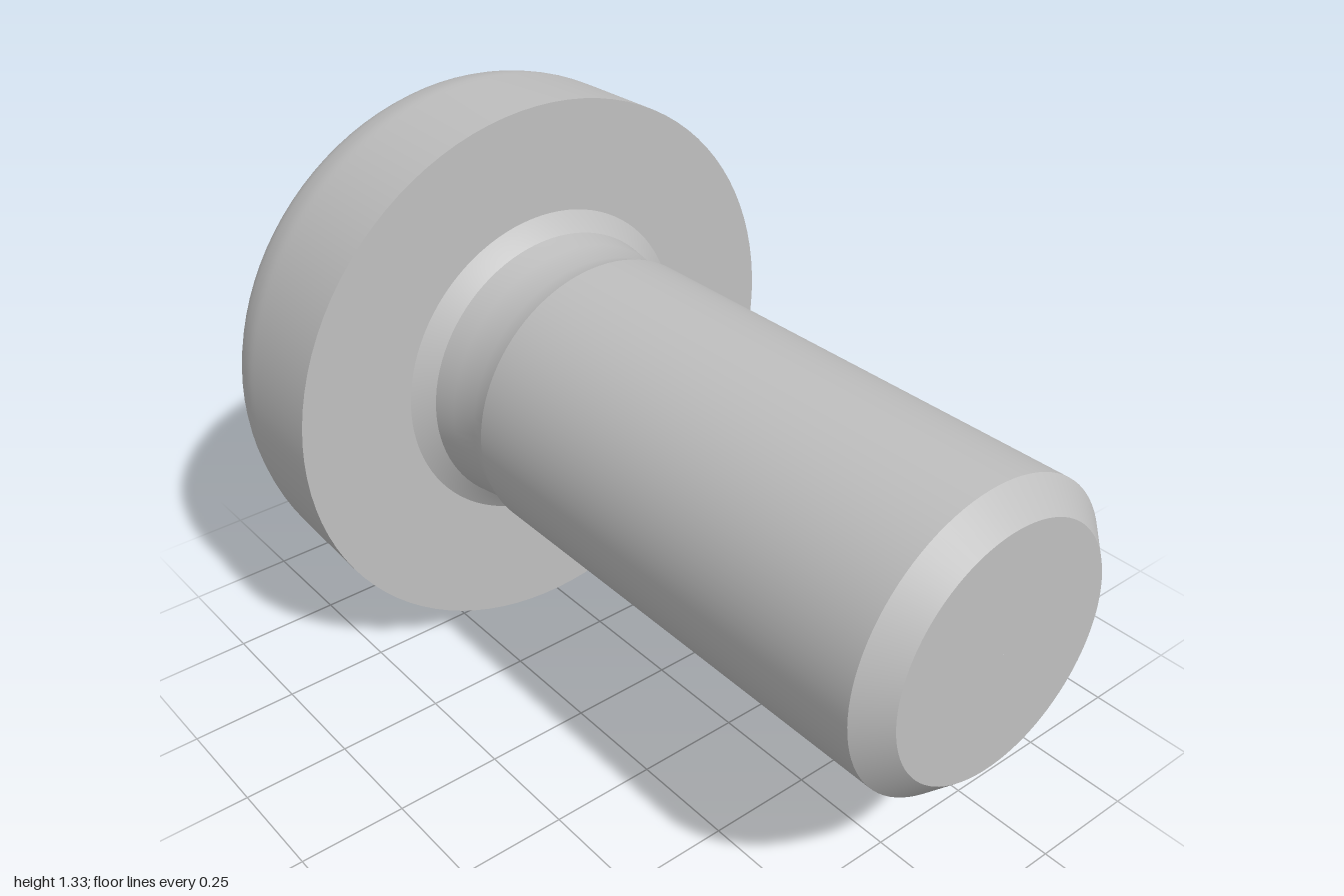
import * as THREE from 'three';
import { toCreasedNormals } from 'three/addons/utils/BufferGeometryUtils.js';

const EDGE = 6;            // steps along each edge of the recess outline
const N = EDGE * 16;       // points in every ring
const HEAD_Y = 0.667, SHAFT_Y = 0.683;

// Round ring of [y, z] offsets; index EDGE / 2 lies on the +z axis
function circle(r) {
  return Array.from({ length: N }, (_, i) => {
    const a = ((i - EDGE / 2) / N) * Math.PI * 2;
    return [r * Math.sin(a), r * Math.cos(a)];
  });
}

// Cross-shaped ring: arm length, half width of an arm, start of the corner chamfer
function cross(tip, half, inner) {
  const corners = [[-half, tip], [half, tip], [half, inner], [inner, half], [half, tip]];
  corners[4] = [tip, half];
  const pts = [];
  for (let q = 0; q < 4; q++) {
    const c = Math.round(Math.cos(q * Math.PI / 2)), s = Math.round(Math.sin(q * Math.PI / 2));
    for (let e = 0; e < 4; e++) {
      for (let k = 0; k < EDGE; k++) {
        const t = k / EDGE;
        const y = corners[e][0] * (1 - t) + corners[e + 1][0] * t;
        const z = corners[e][1] * (1 - t) + corners[e + 1][1] * t;
        pts.push([y * c + z * s, z * c - y * s]);
      }
    }
  }
  return pts;
}

// Skin through rings placed along x, from the recess towards the shaft tip
function loft(rings, cy, crease) {
  const pos = [], idx = [];
  rings.forEach(({ pts, x }) => pts.forEach(([y, z], i) =>
    pos.push(typeof x === 'function' ? x(Math.hypot(y, z)) : x, y + cy, z)));
  for (let j = 0; j < rings.length - 1; j++) {
    for (let i = 0; i < N; i++) {
      const a = j * N + i, d = j * N + (i + 1) % N;
      idx.push(a, a + N, d + N, a, d + N, d);
    }
  }
  const g = new THREE.BufferGeometry();
  g.setAttribute('position', new THREE.Float32BufferAttribute(pos, 3));
  g.setIndex(idx);
  return toCreasedNormals(g, crease);
}

const turned = (profile) => profile.map(([x, r]) => ({ x, pts: circle(r) }));

export function createModel() {
  const group = new THREE.Group();
  const steel = new THREE.MeshStandardMaterial({ color: 0xbfbfbf });
  steel.name = 'steel grey';
  const add = (name, geometry) => {
    const mesh = new THREE.Mesh(geometry, steel);
    mesh.name = name;
    group.add(mesh);
  };

  // Cross recess: tapered walls down to a shallow conical floor
  const domeX = (r) => -1.005 + 0.55 * r * r;
  const mouth = cross(0.29, 0.052, 0.11);
  add('driveRecess', loft([
    { pts: circle(0.0005), x: -0.6 },
    { pts: cross(0.14, 0.036, 0.075), x: -0.66 },
    { pts: mouth, x: domeX },
  ], HEAD_Y, 0.5));

  // Crown of the head, blending from the cross outline to a circle
  const rim = circle(0.33);
  const crown = [];
  for (let k = 0; k <= 5; k++) {
    const t = k / 5;
    crown.push({
      x: domeX,
      pts: mouth.map(([y, z], i) => [y + (rim[i][0] - y) * t, z + (rim[i][1] - z) * t]),
    });
  }
  // Rounded shoulder, side wall and flat underside
  const shoulder = new THREE.SplineCurve([
    [-0.945, 0.33], [-0.9, 0.45], [-0.85, 0.562], [-0.785, 0.63], [-0.715, 0.655], [-0.66, 0.66],
  ].map((p) => new THREE.Vector2(...p))).getPoints(20).slice(1).map((p) => [p.x, p.y]);
  add('head', loft([
    ...crown,
    ...turned([...shoulder, [-0.435, 0.667], [-0.435, 0.36]]),
  ], HEAD_Y, 0.6));

  // Flared neck under the head
  add('neck', loft(turned([
    [-0.437, 0.39], [-0.42, 0.365], [-0.4, 0.342], [-0.34, 0.333], [-0.27, 0.326], [-0.22, 0.34],
  ]), SHAFT_Y, 0.6));

  // Plain shaft with a chamfered, flat end
  add('shaft', loft(turned([
    [-0.22, 0.34], [0.3, 0.343], [0.94, 0.347], [1, 0.285], [1, 0.0005],
  ]), SHAFT_Y, 0.5));

  return group;
}
